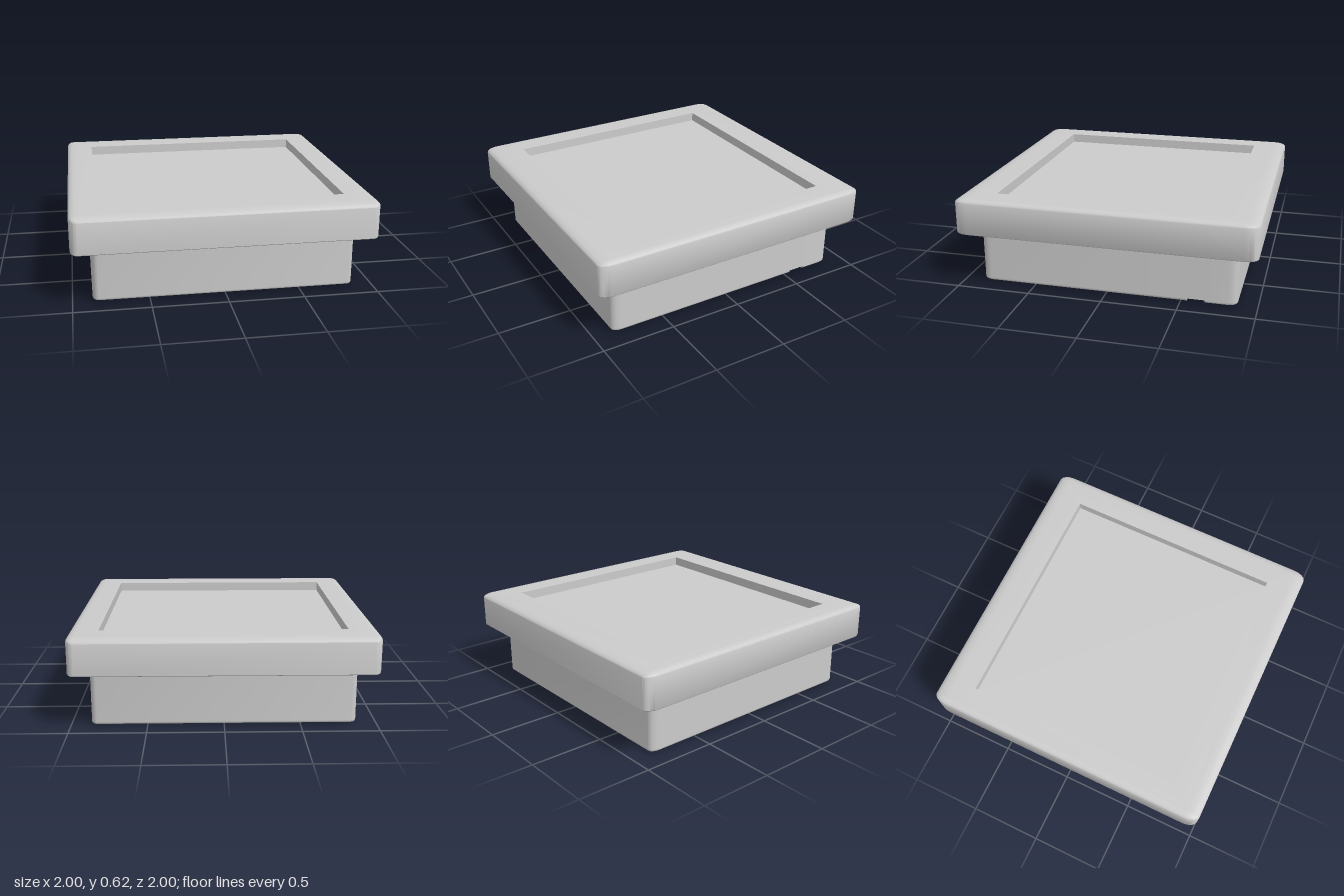
import * as THREE from 'three';
import { mergeGeometries, toCreasedNormals } from 'three/addons/utils/BufferGeometryUtils.js';

const grey = new THREE.MeshStandardMaterial({ color: 0xcccccc });

// Four [x, z] corners of a rectangle
const rect = (x0, x1, z0, z1) => [[x1, z0], [x1, z1], [x0, z1], [x0, z0]];
const at = (points, y) => points.map(([x, z]) => [x, y, z]);

// Skin between closed rings; faces outward when the rings rise, inward when they fall
function loft(rings) {
  const pos = [];
  for (let r = 0; r < rings.length - 1; r++) {
    const a = rings[r], b = rings[r + 1], n = a.length;
    for (let i = 0; i < n; i++) {
      const j = (i + 1) % n;
      pos.push(...a[i], ...b[i], ...a[j], ...a[j], ...b[i], ...b[j]);
    }
  }
  const g = new THREE.BufferGeometry();
  g.setAttribute('position', new THREE.Float32BufferAttribute(pos, 3));
  return g;
}

// Flat face at height y, facing up (dir 1) or down (dir -1)
function face(points, y, dir, hole) {
  const vec = p => p.map(([x, z]) => new THREE.Vector2(x, -dir * z));
  const shape = new THREE.Shape(vec(points));
  if (hole) shape.holes.push(new THREE.Path(vec(hole)));
  const g = new THREE.ShapeGeometry(shape).toNonIndexed();
  g.deleteAttribute('uv');
  g.deleteAttribute('normal');
  return g.rotateX(-dir * Math.PI / 2).translate(0, y, 0);
}

// Rounded rectangle ring; k scales the corner radii, notch optionally cuts the +x side
function ring(h, rx, rz, k, y, notch, cut) {
  const cx = h - rx, cz = h - rz, pts = [];
  if (notch) {
    const x = cx + rx * k, nx = cut ? notch.x : x;
    pts.push([x, y, notch.z0], [nx, y, notch.z0], [nx, y, notch.z1], [x, y, notch.z1]);
  }
  for (let q = 0; q < 4; q++) {
    const sx = q === 0 || q === 3 ? 1 : -1, sz = q < 2 ? 1 : -1;
    for (let i = 0; i <= 4; i++) {
      const t = (q + i / 4) * Math.PI / 2;
      pts.push([sx * cx + rx * k * Math.cos(t), y, sz * cz + rz * k * Math.sin(t)]);
    }
  }
  return pts;
}

// Heights and corner scales of an edge rounding, from the flat face to the full outline
const rounding = Array.from({ length: 5 }, (_, i) => {
  const t = i / 4 * Math.PI / 2;
  return { k: Math.sin(t), d: 1 - Math.cos(t) };
});

function part(name, pieces) {
  const mesh = new THREE.Mesh(toCreasedNormals(mergeGeometries(pieces), 0.65), grey);
  mesh.name = name;
  return mesh;
}

// Wide upper slab with a shallow rectangular recess
function makeTopFrame() {
  const rx = 0.05, rz = 0.09, y0 = 0.365, y1 = 0.615, floor = 0.55;
  const flat = rect(rx - 1, 1 - rx, rz - 1, 1 - rz);
  const recess = rect(-0.81, 0.81, -0.763, 0.763);
  const lower = rounding.map(({ k, d }) => ring(1, rx, rz, k, y0 + 0.015 * d));
  const upper = rounding.map(({ k, d }) => ring(1, rx, rz, k, y1 - 0.025 * d)).reverse();
  return part('topFrame', [
    loft([...lower, ...upper]),
    face(flat, y0, -1),
    face(flat, y1, 1, recess),
    loft([at(recess, y1), at(recess, floor)]),
    face(recess, floor, 1),
  ]);
}

// Narrower base with a recess underneath and a small notch in its lower edge
function makeBase() {
  const h = 0.87, rx = 0.04, rz = 0.06, ry = 0.018, depth = 0.06, ceiling = 0.025;
  const notch = { x: 0.815, z0: -0.66, z1: -0.54 };
  const cx = h - rx, cz = h - rz;
  const flat = [
    [cx, -cz], [cx, notch.z0], [notch.x, notch.z0], [notch.x, notch.z1], [cx, notch.z1],
    [cx, cz], [-cx, cz], [-cx, -cz],
  ];
  const recess = rect(-0.605, 0.605, -0.67, 0.01);
  const lower = rounding.map(({ k, d }) => ring(h, rx, rz, k, ry * d, notch, true));
  return part('base', [
    loft([
      ...lower,
      ring(h, rx, rz, 1, ceiling, notch, true),
      ring(h, rx, rz, 1, ceiling, notch, false),
      ring(h, rx, rz, 1, 0.37, notch, false),
    ]),
    face(flat, 0, -1, recess),
    loft([at(recess, depth), at(recess, 0)]),
    face(recess, depth, -1),
  ]);
}

export function createModel() {
  const model = new THREE.Group();
  model.name = 'recessedBlock';
  model.add(makeTopFrame(), makeBase());
  return model;
}
